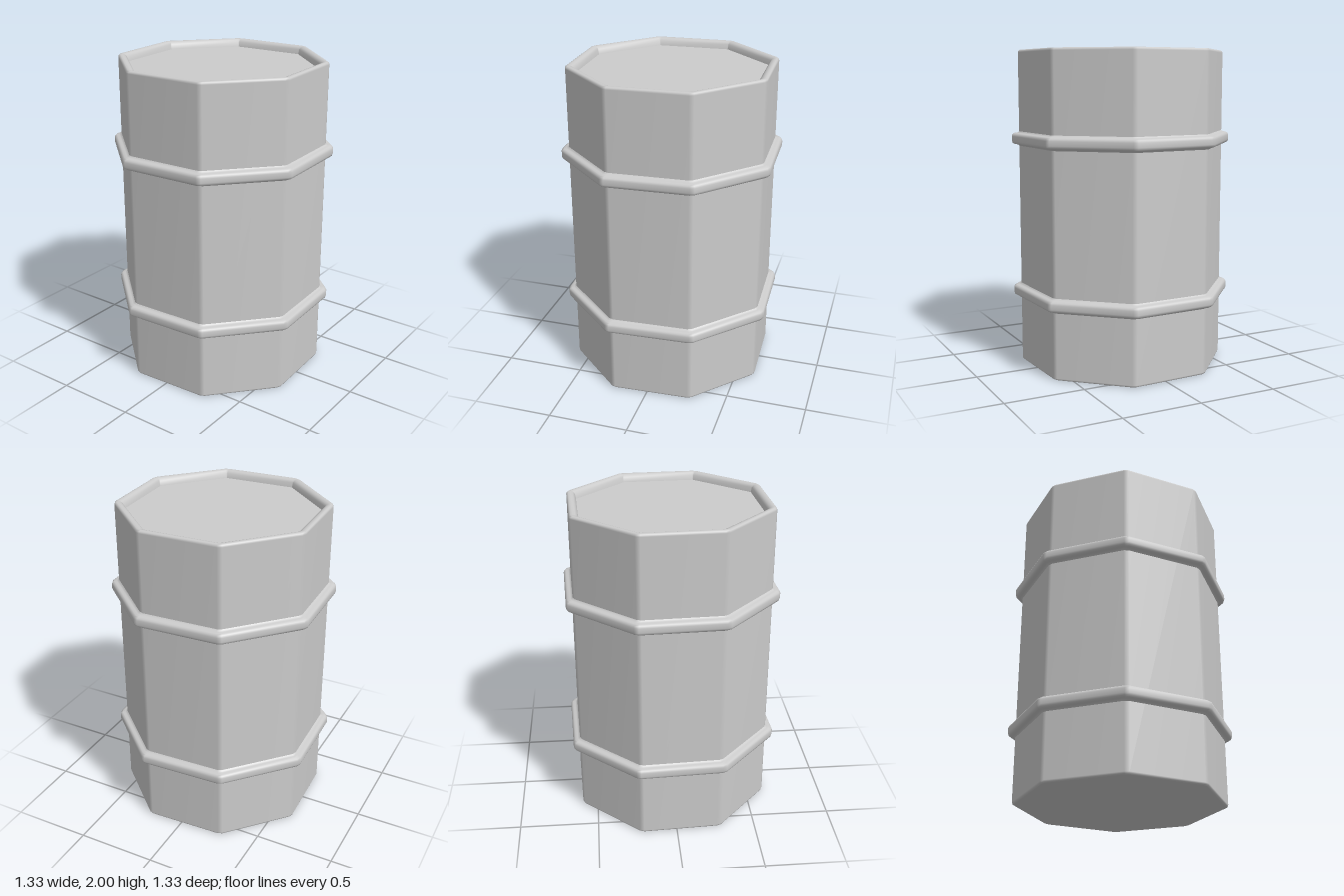
import * as THREE from 'three';

const SIDES = 8;
const TURN = THREE.MathUtils.degToRad(20); // angle of the first corner
const CUT = 0.016; // corner bevel, measured along each side

// Octagon loop with every corner split into a narrow bevel
function octagon(radius, cut = CUT) {
  const half = Math.PI / SIDES;
  const apothem = radius * Math.cos(half);
  const side = radius * Math.sin(half) - cut;
  const points = [];
  for (let i = 0; i < SIDES; i++) {
    const a = TURN + half + i * 2 * half;
    for (const s of [-side, side]) {
      points.push([
        apothem * Math.cos(a) - s * Math.sin(a),
        apothem * Math.sin(a) + s * Math.cos(a),
      ]);
    }
  }
  return points;
}

// Sweep a [radius, height, cut] profile round the octagon; area-weighted normals keep the sides flat
function sweep(profile) {
  const positions = [];
  const index = [];
  const n = SIDES * 2;
  for (const [r, y, cut] of profile) {
    for (const [x, z] of octagon(r, cut)) positions.push(x, y, z);
  }
  for (let j = 0; j < profile.length - 1; j++) {
    for (let i = 0; i < n; i++) {
      const k = (i + 1) % n;
      const a = j * n + i, b = j * n + k;
      index.push(a, a + n, b, b, a + n, b + n);
    }
  }
  return finish(positions, index);
}

// Flat octagonal plate facing up or down
function plate(radius, y, cut, up) {
  const positions = [0, y, 0];
  const index = [];
  const n = SIDES * 2;
  for (const [x, z] of octagon(radius, cut)) positions.push(x, y, z);
  for (let i = 0; i < n; i++) {
    const a = 1 + i, b = 1 + ((i + 1) % n);
    index.push(0, up ? b : a, up ? a : b);
  }
  return finish(positions, index);
}

function finish(positions, index) {
  const g = new THREE.BufferGeometry();
  g.setAttribute('position', new THREE.Float32BufferAttribute(positions, 3));
  g.setIndex(index);
  g.computeVertexNormals();
  return g;
}

export function createModel() {
  const group = new THREE.Group();
  const material = new THREE.MeshStandardMaterial({ color: 0xcccccc });
  const add = (name, geometry, y = 0) => {
    const mesh = new THREE.Mesh(geometry, material);
    mesh.name = name;
    mesh.position.y = y;
    group.add(mesh);
  };

  // Drum wall, rolled over a rounded lip down to the sunken lid
  add('drumWall', sweep([
    [0.646, 0],
    [0.655, 0.004],
    [0.659, 0.014],
    [0.659, 1.984],
    [0.655, 1.995],
    [0.646, 2],
    [0.632, 2, 0.012],
    [0.616, 1.995, 0.008],
    [0.603, 1.982, 0.004],
    [0.596, 1.952, 0.002],
  ]));
  add('lid', plate(0.596, 1.952, 0.002, true));
  add('base', plate(0.646, 0, CUT, false));

  // Two rolling hoops with a small fillet where they meet the wall
  const hoop = sweep([
    [0.657, -0.048],
    [0.664, -0.04],
    [0.674, -0.036],
    [0.69, -0.034],
    [0.701, -0.027],
    [0.706, -0.014],
    [0.706, 0.014],
    [0.701, 0.027],
    [0.69, 0.034],
    [0.674, 0.036],
    [0.664, 0.04],
    [0.657, 0.048],
  ]);
  add('lowerHoop', hoop, 0.467);
  add('upperHoop', hoop, 1.446);

  return group;
}
